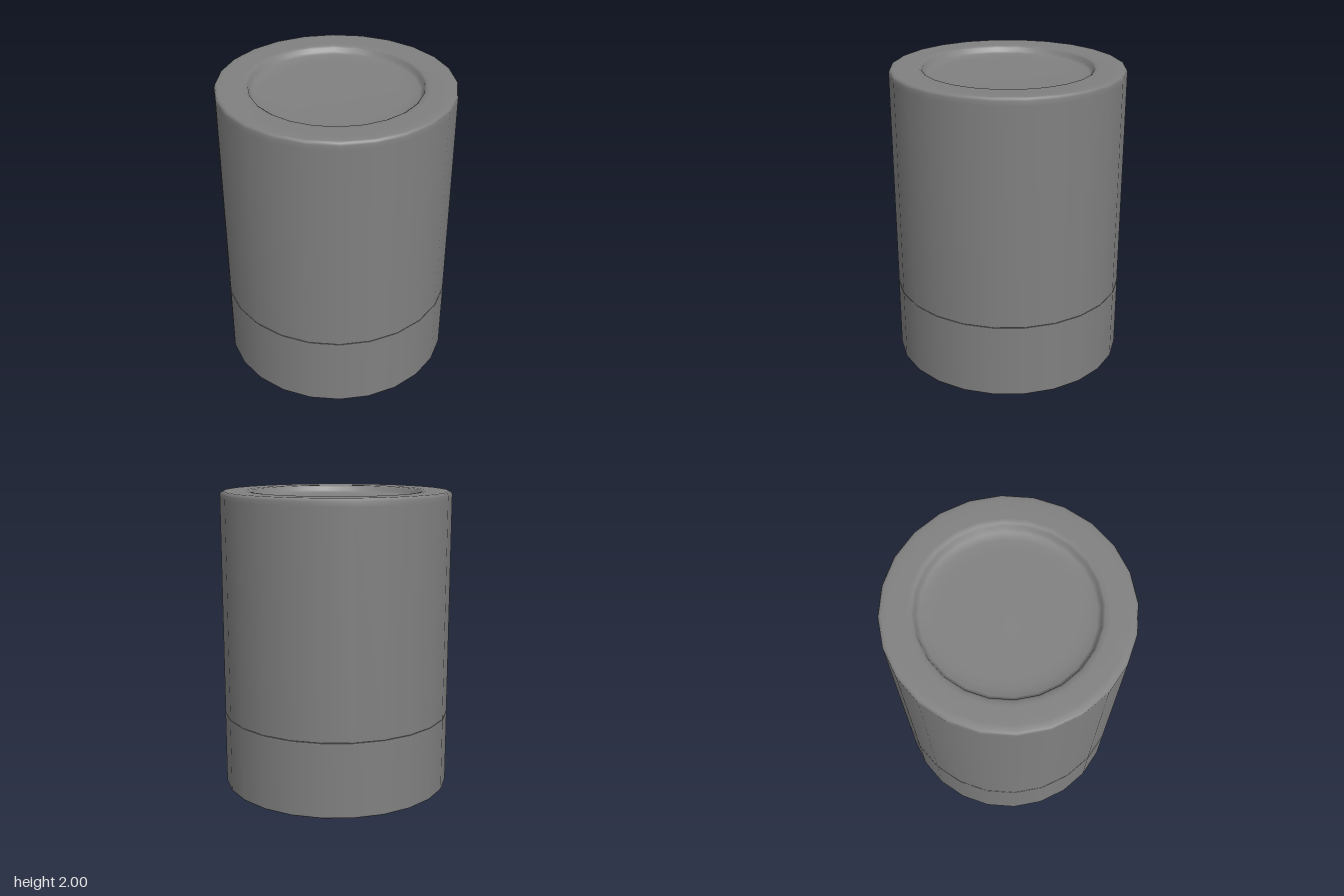
import * as THREE from 'three';

const SIDES = 24;

// Turns a profile of [radius, height] points, listed from the bottom outward and up
function turned(name, profile) {
  const points = profile.map(([r, y]) => new THREE.Vector2(r, y));
  const mesh = new THREE.Mesh(
    new THREE.LatheGeometry(points, SIDES),
    new THREE.MeshStandardMaterial({ color: 0x808080 })
  );
  mesh.name = name;
  return mesh;
}

export function createModel() {
  const model = new THREE.Group();
  model.name = 'canister';

  // Lower band with crisp edges and a closed underside
  model.add(turned('base', [
    [0, 0], [0.757, 0], [0.764, 0.001], [0.767, 0.006], [0.767, 0.012],
    [0.767, 0.488], [0.767, 0.494], [0.765, 0.497], [0.757, 0.497], [0.7, 0.497],
  ]));

  // Tall upper body, softened rim and shallow dished top
  model.add(turned('body', [
    [0.7, 0.497], [0.757, 0.497], [0.765, 0.498], [0.766, 0.503], [0.766, 0.515],
    [0.766, 1.95], [0.766, 1.98], [0.76, 1.994], [0.745, 2], [0.71, 2],
    [0.6, 2], [0.57, 1.997], [0.555, 1.987], [0.548, 1.965],
    [0.53, 1.953], [0.48, 1.945], [0.4, 1.942], [0, 1.942],
  ]));

  return model;
}
